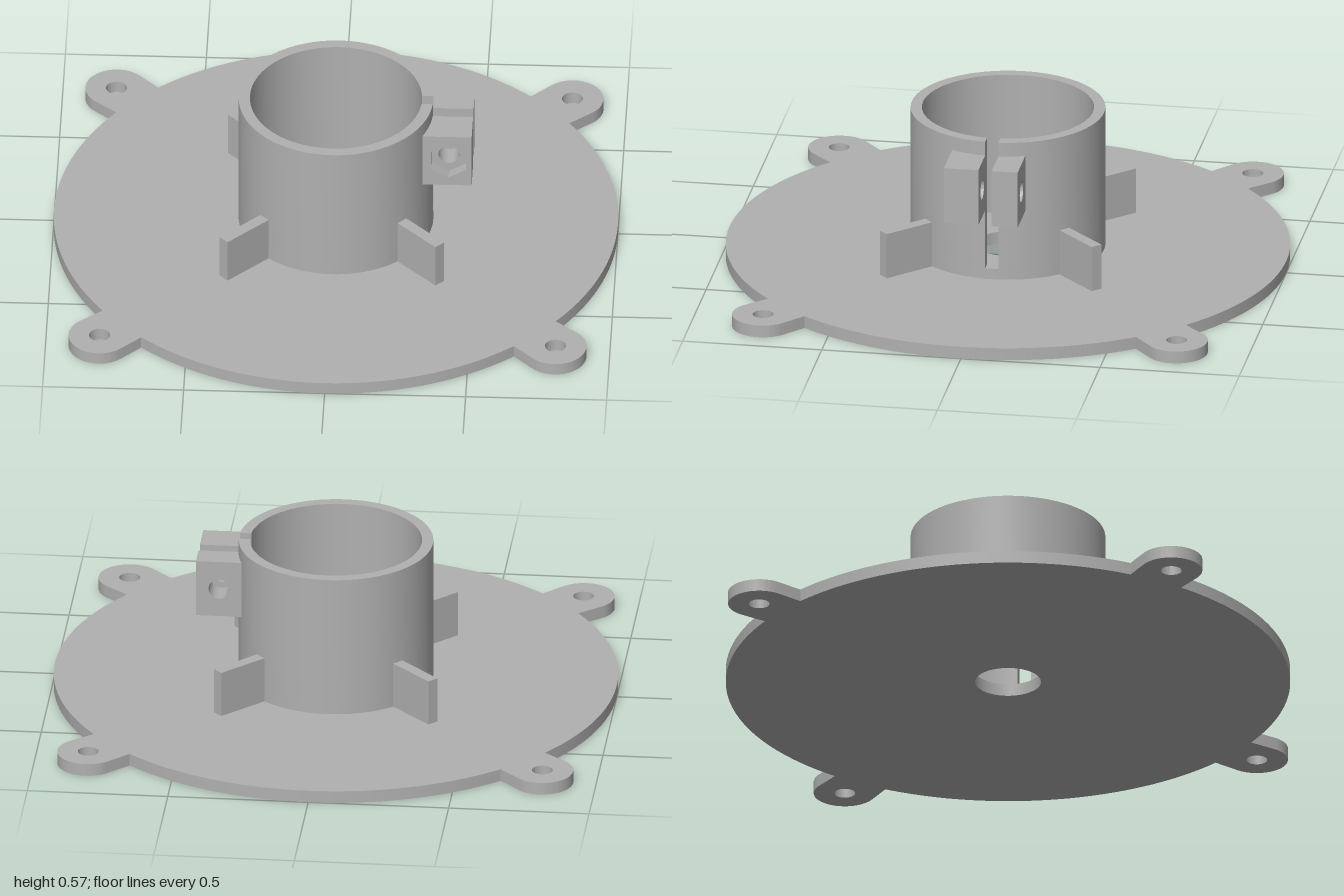
import * as THREE from 'three';
import { toCreasedNormals } from 'three/addons/utils/BufferGeometryUtils.js';

const PLATE = 0.045, TOP = 0.567, OUTER = 0.345, INNER = 0.305, GAP = 0.024, SLOT_Y = 0.085;

export function createModel() {
  const model = new THREE.Group();
  const grey = new THREE.MeshStandardMaterial({ color: 0xb0b0b0 });
  grey.name = 'grey plastic';

  const add = (name, geometry) => {
    const mesh = new THREE.Mesh(geometry, grey);
    mesh.name = name;
    model.add(mesh);
    return mesh;
  };
  const extrude = (shape, depth, curveSegments = 24) =>
    toCreasedNormals(new THREE.ExtrudeGeometry(shape, { depth, curveSegments, bevelEnabled: false }), 0.5);
  const upright = (shape, y0, y1, segments) =>
    extrude(shape, y1 - y0, segments).rotateX(-Math.PI / 2).translate(0, y0, 0);
  const circle = (x, y, r) => new THREE.Path().absarc(x, y, r, 0, Math.PI * 2, false);

  // Round base plate with four screw ears and a centre hole
  const plate = new THREE.Shape();
  const earAngle = THREE.MathUtils.degToRad(42.6), neck = THREE.MathUtils.degToRad(6.05);
  const ears = [earAngle, Math.PI - earAngle, Math.PI + earAngle, 2 * Math.PI - earAngle];
  ears.forEach((a, i) => {
    const x = 1.098 * Math.cos(a), y = 1.098 * Math.sin(a);
    const next = i < 3 ? ears[i + 1] : ears[0] + Math.PI * 2;
    plate.absarc(x, y, 0.11, a - Math.PI / 2, a + Math.PI / 2, false);
    plate.absarc(0, 0, 1, a + neck, next - neck, false);
    plate.holes.push(circle(x, y, 0.037));
  });
  plate.holes.push(circle(0, 0, 0.117));
  add('basePlate', upright(plate, 0, PLATE));

  // Collar: closed ring at the foot, slotted ring above
  const foot = new THREE.Shape().absarc(0, 0, OUTER, 0, Math.PI * 2, false);
  foot.holes.push(circle(0, 0, INNER));
  add('collarFoot', upright(foot, PLATE, SLOT_Y, 48));

  const ao = Math.asin(GAP / OUTER), ai = Math.asin(GAP / INNER);
  const slotted = new THREE.Shape();
  slotted.absarc(0, 0, OUTER, ao, Math.PI * 2 - ao, false);
  slotted.absarc(0, 0, INNER, Math.PI * 2 - ai, ai, true);
  slotted.closePath();
  add('slottedCollar', upright(slotted, SLOT_Y, TOP, 48));

  // Clamp lugs beside the slot, with a bolt hole and a hexagonal nut pocket
  const cx = 0.405, cy = 0.41;
  const lug = (name, hole, z0, z1) => {
    const s = new THREE.Shape();
    s.moveTo(0.312, 0.305).lineTo(0.487, 0.305).lineTo(0.487, 0.515).lineTo(0.312, 0.515).closePath();
    s.holes.push(hole);
    add(name, extrude(s, z1 - z0).translate(0, 0, z0));
  };
  const hexagon = new THREE.Path();
  hexagon.setFromPoints(Array.from({ length: 6 }, (_, i) => {
    const a = Math.PI / 6 + i * Math.PI / 3;
    return new THREE.Vector2(cx + 0.072 * Math.cos(a), cy + 0.072 * Math.sin(a));
  })).closePath();
  lug('backLug', circle(cx, cy, 0.037), -0.117, -GAP);
  lug('frontLug', circle(cx, cy, 0.037), GAP, 0.108);
  lug('nutPocket', hexagon, 0.108, 0.148);

  // Four diagonal ribs bracing the collar
  for (let i = 0; i < 4; i++) {
    const rib = new THREE.BoxGeometry(0.212, 0.213 - PLATE, 0.042);
    rib.translate(0.436, (0.213 + PLATE) / 2, 0);
    add('rib', rib).rotation.y = Math.PI / 4 + i * Math.PI / 2;
  }
  return model;
}
